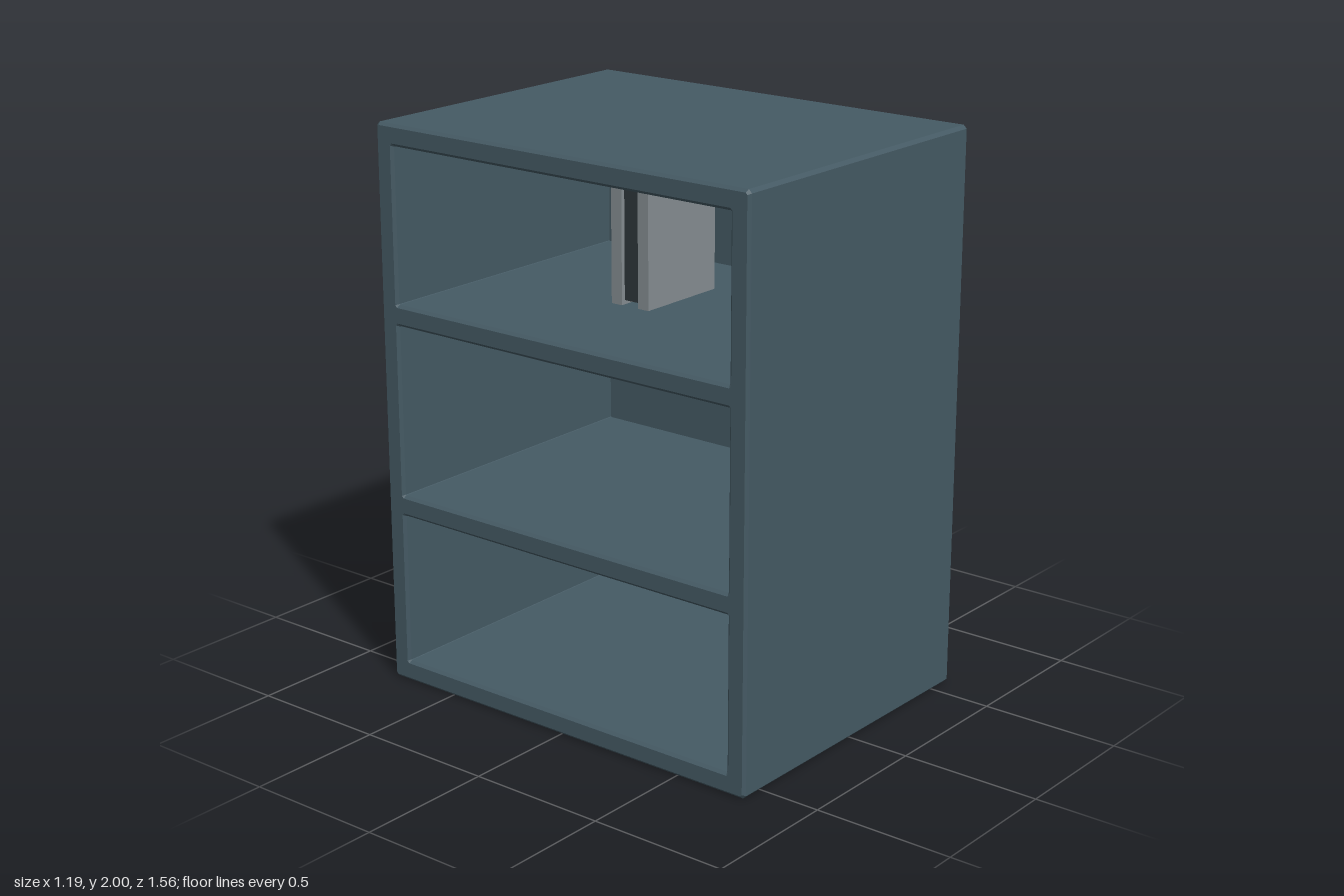
import * as THREE from 'three';

const W = 1.19, H = 2, D = 1.56, WALL = 0.075, BEVEL = 0.01;

// Closed rectangular path with small chamfered corners
function chamferedRect(path, x0, y0, x1, y1, c) {
  path.moveTo(x0 + c, y0);
  path.lineTo(x1 - c, y0);
  path.lineTo(x1, y0 + c);
  path.lineTo(x1, y1 - c);
  path.lineTo(x1 - c, y1);
  path.lineTo(x0 + c, y1);
  path.lineTo(x0, y1 - c);
  path.lineTo(x0, y0 + c);
  path.closePath();
  return path;
}

// Extrude a side outline along x, from xMin to xMax, with bevelled rims
function extrudeAlongX(shape, xMin, xMax) {
  const g = new THREE.ExtrudeGeometry(shape, {
    depth: xMax - xMin - 2 * BEVEL,
    bevelEnabled: true, bevelSegments: 1,
    bevelSize: BEVEL, bevelThickness: BEVEL, bevelOffset: -BEVEL,
  });
  g.rotateY(Math.PI / 2);
  g.translate(xMin + BEVEL, 0, 0);
  return g;
}

const outline = () => chamferedRect(new THREE.Shape(), -D / 2, 0, D / 2, H, BEVEL * 1.2);

export function createModel() {
  const model = new THREE.Group();
  model.name = 'shelfCabinet';

  const slate = new THREE.MeshStandardMaterial({ color: 0x455a64 });
  slate.name = 'slate';
  const grey = new THREE.MeshStandardMaterial({ color: 0x868e92 });
  grey.name = 'grey';
  const charcoal = new THREE.MeshStandardMaterial({ color: 0x2f373b });
  charcoal.name = 'charcoal';

  const add = (parent, name, geometry, material, x = 0, y = 0, z = 0) => {
    const mesh = new THREE.Mesh(geometry, material);
    mesh.name = name;
    mesh.position.set(x, y, z);
    parent.add(mesh);
  };

  // Walls and shelves: one frame with three compartments open towards -x
  const frame = outline();
  const inner = D / 2 - WALL;
  for (const [bottom, top] of [[WALL, 0.62], [0.695, 1.305], [1.38, H - WALL]]) {
    frame.holes.push(chamferedRect(new THREE.Path(), -inner, bottom, inner, top, 0.002));
  }
  add(model, 'shelfFrame', extrudeAlongX(frame, -W / 2, W / 2 - 0.035), slate);

  // Closed panel on the +x side
  add(model, 'closedPanel', extrudeAlongX(outline(), W / 2 - 0.08, W / 2), slate);

  // Upright binders: two covers with a recessed core
  const binder = (name, x, y, z) => {
    const g = new THREE.Group();
    g.name = name;
    g.position.set(x, y, z);
    const length = 0.36, height = 0.42;
    for (const side of [-1, 1]) {
      add(g, 'binderCover', new THREE.BoxGeometry(length, height, 0.045), grey,
        length / 2, height / 2, side * 0.0575);
    }
    add(g, 'binderCore', new THREE.BoxGeometry(length - 0.03, height - 0.03, 0.07), charcoal,
      length / 2, height / 2, 0);
    model.add(g);
  };
  binder('middleBinder', -0.06, 0.695, 0.48);
  binder('upperBinder', -0.12, 1.38, -0.08);

  return model;
}
